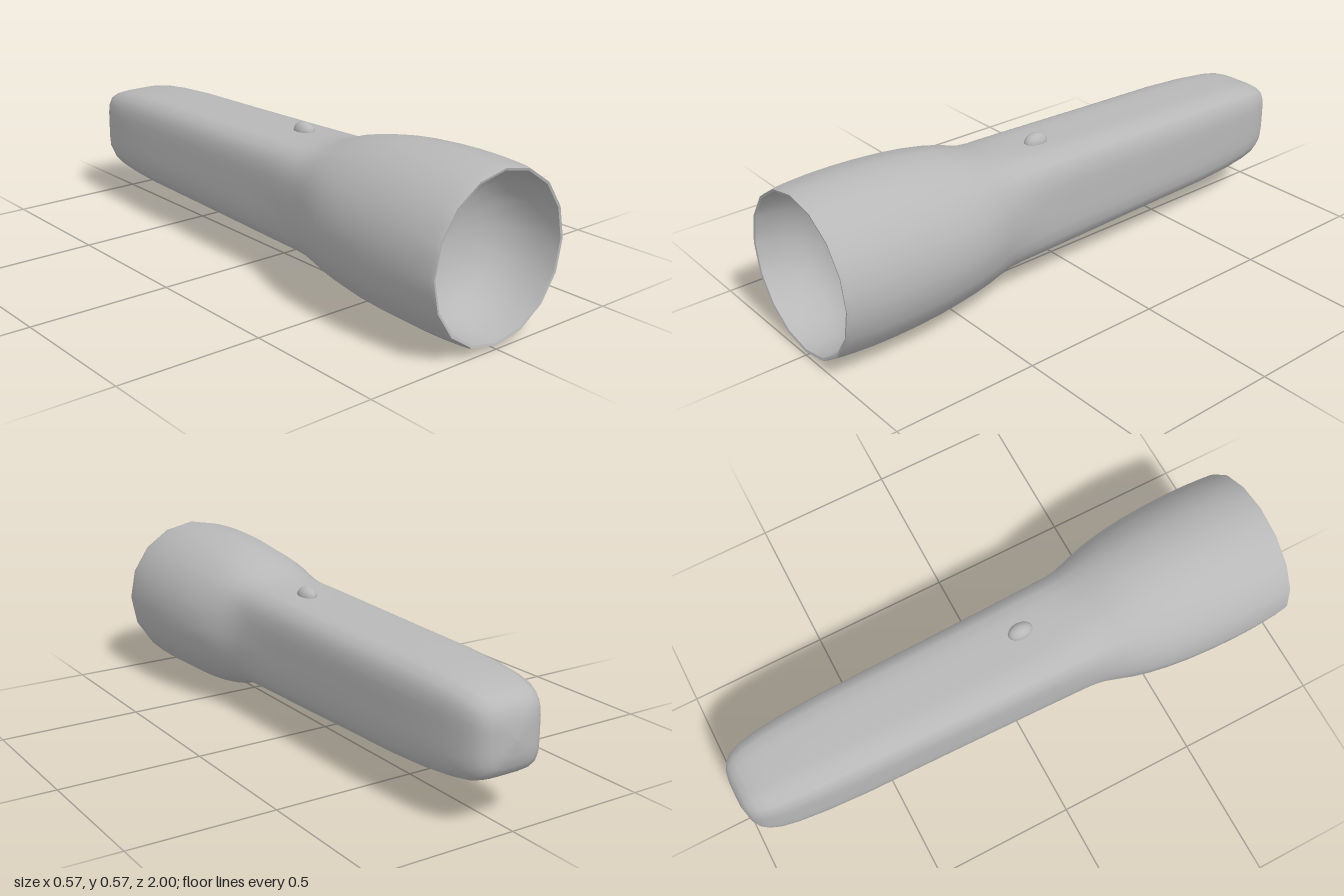
import * as THREE from 'three';

const AXIS_Y = 0.286; // height of the torch's long axis
const SEGMENTS = 32;

// Radius at an angle: a 16-sided polygon (square = 0) blending to a rounded square (square = 1)
function radiusAt(j, square) {
  const a = (j / SEGMENTS) * Math.PI * 2;
  const polygon = j % 2 ? Math.cos(Math.PI / 16) : 1;
  const n = 5;
  const box = Math.pow(Math.abs(Math.cos(a)) ** n + Math.abs(Math.sin(a)) ** n, -1 / n);
  return polygon + (box - polygon) * square;
}

// Smooth skin through rings of [z, half size, squareness]
function loft(rings) {
  const points = [];
  const index = [];
  rings.forEach(([z, r, square], i) => {
    for (let j = 0; j < SEGMENTS; j++) {
      const a = (j / SEGMENTS) * Math.PI * 2;
      const k = r * radiusAt(j, square);
      points.push(Math.cos(a) * k, AXIS_Y + Math.sin(a) * k, z);
      if (i === 0) continue;
      const p = (i - 1) * SEGMENTS;
      const n = (j + 1) % SEGMENTS;
      const q = p + SEGMENTS;
      index.push(p + j, p + n, q + n, p + j, q + n, q + j);
    }
  });
  const geometry = new THREE.BufferGeometry();
  geometry.setAttribute('position', new THREE.Float32BufferAttribute(points, 3));
  geometry.setIndex(index);
  geometry.computeVertexNormals();
  return geometry;
}

export function createModel() {
  const group = new THREE.Group();
  const grey = new THREE.MeshStandardMaterial({ color: 0xb8b8b8 });
  grey.name = 'plain grey';
  const add = (name, geometry) => {
    const mesh = new THREE.Mesh(geometry, grey);
    mesh.name = name;
    group.add(mesh);
    return mesh;
  };

  // Squared handle flowing into the round, bulging head
  add('body', loft([
    [-1, 0.001, 1], [-0.998, 0.05, 1], [-0.99, 0.085, 1], [-0.975, 0.109, 1],
    [-0.95, 0.126, 1], [-0.91, 0.14, 1], [-0.85, 0.15, 1], [-0.75, 0.159, 1],
    [-0.6, 0.166, 1], [-0.3, 0.171, 1], [0, 0.177, 1], [0.12, 0.181, 0.95],
    [0.2, 0.187, 0.82], [0.26, 0.194, 0.65], [0.31, 0.205, 0.46], [0.36, 0.222, 0.29],
    [0.41, 0.24, 0.16], [0.47, 0.256, 0.06], [0.54, 0.269, 0], [0.62, 0.278, 0],
    [0.72, 0.284, 0], [0.8, 0.286, 0], [0.88, 0.285, 0], [0.95, 0.281, 0],
    [0.985, 0.278, 0], [1, 0.274, 0],
  ]));

  // Thin lip around the opening
  add('rim', loft([[1, 0.274, 0], [0.998, 0.266, 0]]));

  // Hollow bowl inside the head
  add('reflector', loft([
    [0.998, 0.266, 0], [0.95, 0.262, 0], [0.9, 0.252, 0], [0.85, 0.232, 0],
    [0.81, 0.2, 0], [0.78, 0.155, 0], [0.762, 0.1, 0], [0.753, 0.05, 0], [0.75, 0.001, 0],
  ]));

  // Small switch on top of the handle
  const button = add('switchButton', new THREE.SphereGeometry(1, 16, 12));
  button.scale.set(0.03, 0.032, 0.045);
  button.position.set(0.02, 0.465, 0.085);

  return group;
}
